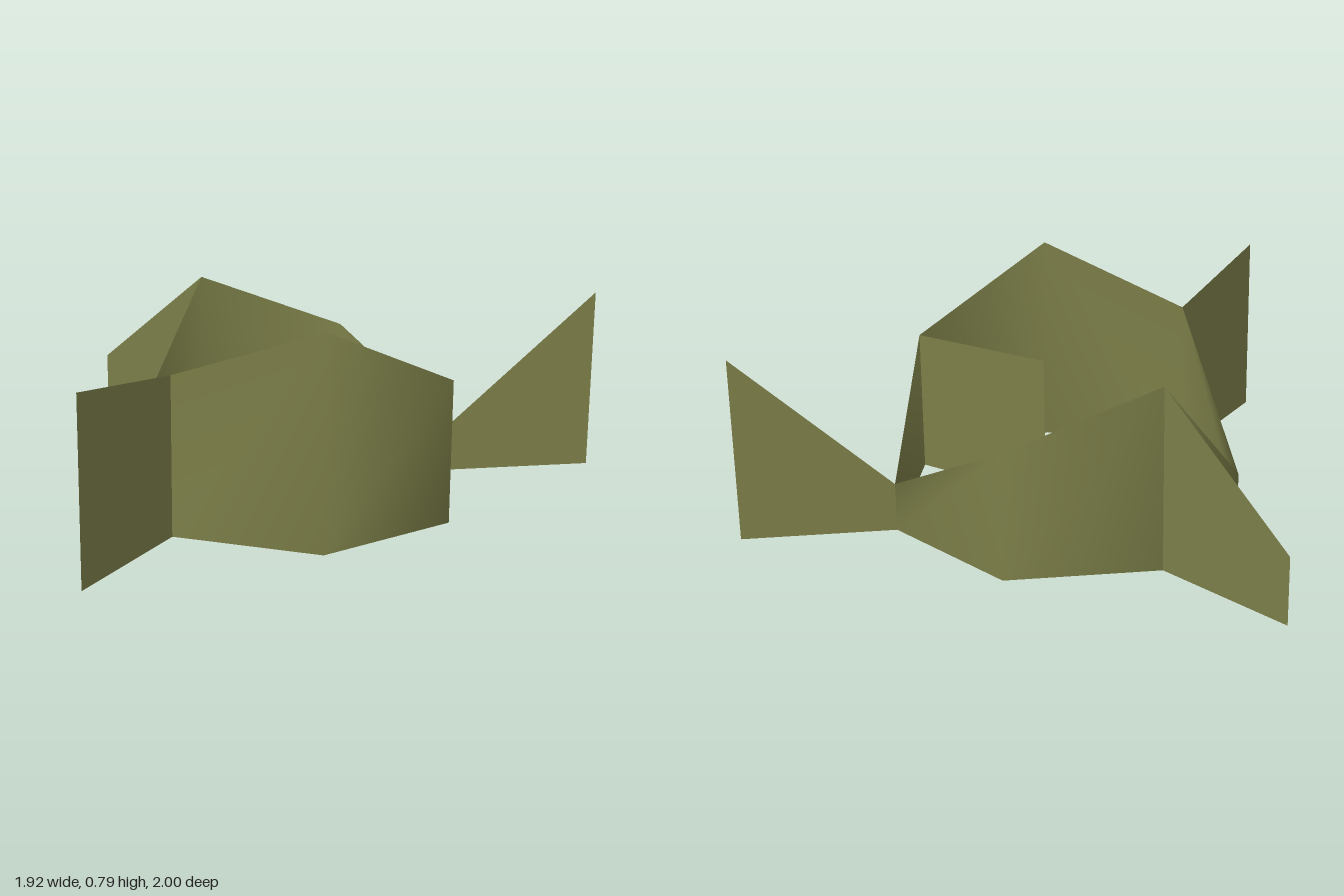
import * as THREE from 'three';

// Paper-thin seven-sided wall ring with a jagged top and four free panels.
const RADIUS = 0.631;
const CENTRE_X = 0.139;
const CENTRE_Z = -0.163;
const STEP = (Math.PI * 2) / 7;
const SIDE = 2 * RADIUS * Math.sin(STEP / 2);

// Wall heights at the corners, starting at +x and turning towards +z.
const HEIGHTS = [0.53, 0.79, 0.59, 0.14, 0.68, 0.47, 0.18];

// Free panels: corner they hang from, turn from the radial direction, end height.
const PANELS = [
  { name: 'frontPanel', corner: 2, turn: -STEP / 4, height: 0.68 },
  { name: 'leftBackPanel', corner: 6, turn: STEP / 4, height: 0.68 },
  { name: 'rightBackPanel', corner: 4, turn: -STEP / 4, height: 0.25 },
  { name: 'innerPanel', corner: 0, turn: Math.PI, height: 0.54 },
];

function corner(i) {
  const a = i * STEP;
  return {
    x: CENTRE_X + RADIUS * Math.cos(a),
    z: CENTRE_Z + RADIUS * Math.sin(a),
    h: HEIGHTS[i % 7],
  };
}

// Upright strip through a row of points; a closed strip shares its first corner.
function strip(points, closed) {
  const positions = [];
  const index = [];
  const n = points.length;
  for (const p of points) positions.push(p.x, 0, p.z, p.x, p.h, p.z);
  for (let i = 0; i < (closed ? n : n - 1); i++) {
    const a = i * 2;
    const b = ((i + 1) % n) * 2;
    index.push(a, a + 1, b, b, a + 1, b + 1);
  }
  const geometry = new THREE.BufferGeometry();
  geometry.setAttribute('position', new THREE.Float32BufferAttribute(positions, 3));
  geometry.setIndex(index);
  geometry.computeVertexNormals();
  return geometry;
}

export function createModel() {
  const group = new THREE.Group();
  group.name = 'jaggedWalls';
  const olive = new THREE.MeshStandardMaterial({ color: 0x7d8049, side: THREE.DoubleSide });
  olive.name = 'olive';

  function add(name, geometry) {
    const mesh = new THREE.Mesh(geometry, olive);
    mesh.name = name;
    group.add(mesh);
  }

  // Closed ring of walls
  add('ringWall', strip(HEIGHTS.map((_, i) => corner(i)), true));

  // Panels branching off the ring corners
  for (const p of PANELS) {
    const start = corner(p.corner);
    const a = p.corner * STEP + p.turn;
    const end = {
      x: start.x + SIDE * Math.cos(a),
      z: start.z + SIDE * Math.sin(a),
      h: p.height,
    };
    add(p.name, strip([start, end], false));
  }
  return group;
}
